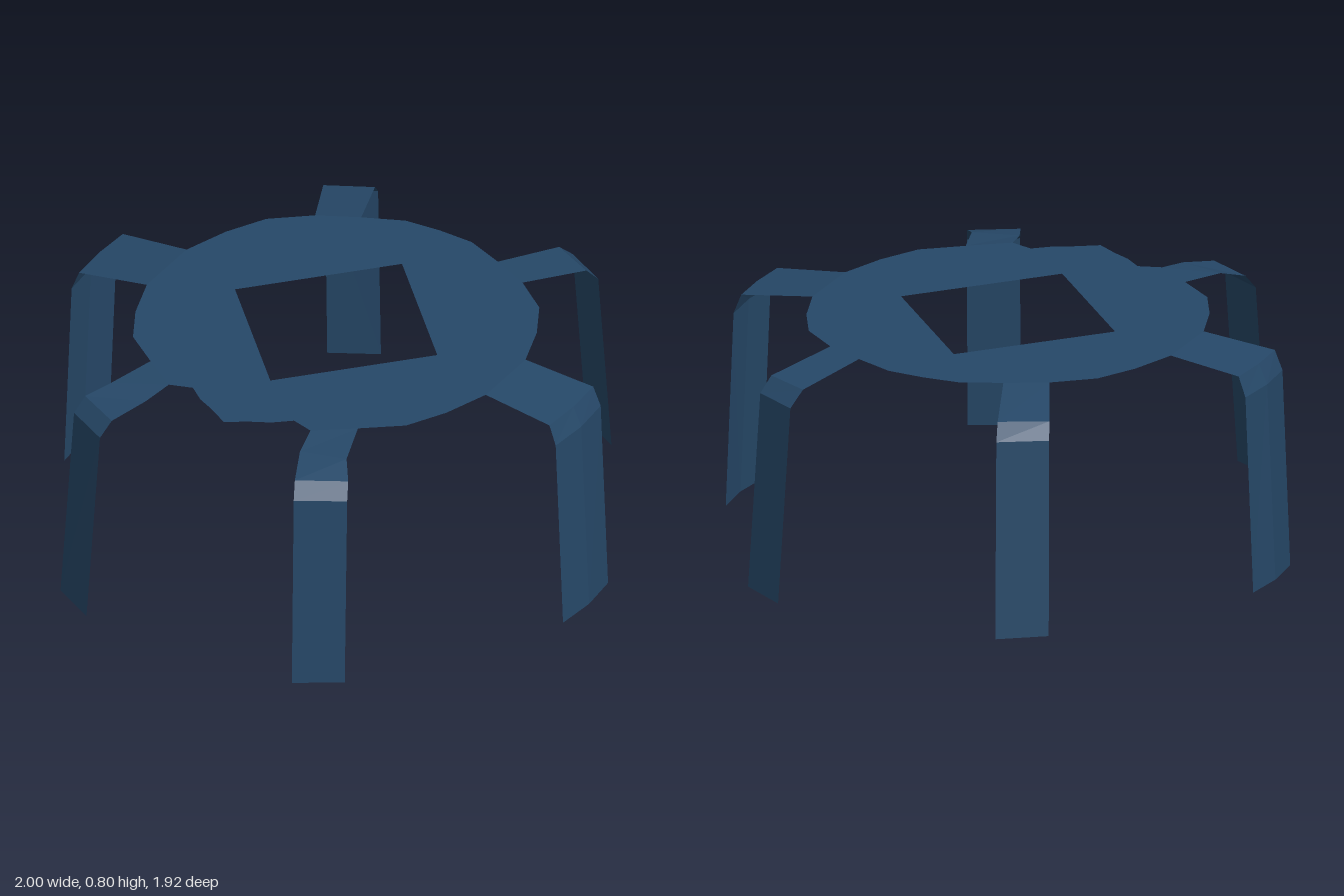
import * as THREE from 'three';

const H = 0.8; // height of the flat top

// Sheet strip: rows run from the top plate down to the foot, each row across the leg
function strip(rows) {
  const n = rows[0].length, index = [];
  for (let i = 0; i < rows.length - 1; i++) {
    for (let j = 0; j < n - 1; j++) {
      const a = i * n + j, b = a + 1, c = a + n, d = c + 1;
      index.push(a, b, d, a, d, c);
    }
  }
  const g = new THREE.BufferGeometry();
  g.setAttribute('position', new THREE.Float32BufferAttribute(rows.flat(2), 3));
  g.setIndex(index);
  const flat = g.toNonIndexed();
  flat.computeVertexNormals();
  return flat;
}

// Mirror a leg across x, reversing rows to keep faces outward
const mirror = rows => rows.map(r => r.map(([x, y, z]) => [-x, y, z]).reverse());

export function createModel() {
  const group = new THREE.Group();
  const blue = new THREE.MeshStandardMaterial({ color: 0x264868, side: THREE.DoubleSide, flatShading: true });
  blue.name = 'navy blue';
  const add = (name, geometry) => {
    const mesh = new THREE.Mesh(geometry, blue);
    mesh.name = name;
    group.add(mesh);
  };

  // Top plate: half outline in (x, z) from back to front, with a pointed front tab
  const half = [
    [0.13, -0.67], [0.27, -0.61], [0.41, -0.54], [0.54, -0.435], [0.615, -0.295], [0.67, -0.13],
    [0.67, 0.13], [0.615, 0.295], [0.54, 0.435], [0.41, 0.535], [0.28, 0.63],
    [0.2, 0.605], [0.14, 0.655], [0.075, 0.688],
  ];
  const outline = [[0, -0.677], ...half, [0, 0.735], ...half.map(([x, z]) => [-x, z]).reverse()];
  const toPoints = list => list.map(([x, z]) => new THREE.Vector2(x, -z));
  const shape = new THREE.Shape(toPoints(outline));
  // Diamond opening
  shape.holes.push(new THREE.Path(toPoints([[0, -0.43], [0.4, 0], [0, 0.43], [-0.4, 0]])));
  const plate = new THREE.ShapeGeometry(shape);
  plate.rotateX(-Math.PI / 2);
  plate.translate(0, H, 0);
  add('topPlate', plate);

  // Side legs: slightly bowed across the middle
  const sideLeg = [
    [0.67, H, 0.13, 0], [0.93, 0.77, 0.143, 0.008], [0.957, 0.7, 0.147, 0.012], [0.986, 0, 0.147, 0.014],
  ].map(([x, y, w, bow]) => [[x, y, -w], [x + bow, y, 0], [x, y, w]]);

  // Back legs: straight run, then two folds
  const backLeg = [
    [[0.27, H, -0.61], [0.41, H, -0.54]],
    [[0.364, 0.757, -0.855], [0.52, 0.757, -0.775]],
    [[0.385, 0.705, -0.91], [0.54, 0.705, -0.82]],
    [[0.406, 0.015, -0.963], [0.562, 0.02, -0.87]],
  ];

  // Front legs: curved run, then two folds
  const frontLeg = [
    [[0.41, H, 0.535], [0.28, H, 0.63]],
    [[0.465, 0.785, 0.7], [0.305, 0.785, 0.74]],
    [[0.52, 0.757, 0.78], [0.362, 0.757, 0.868]],
    [[0.54, 0.705, 0.82], [0.383, 0.705, 0.91]],
    [[0.562, 0.015, 0.872], [0.406, 0.01, 0.96]],
  ];

  for (const [name, rows] of Object.entries({ sideLeg, backLeg, frontLeg })) {
    add(name + 'Left', strip(rows));
    add(name + 'Right', strip(mirror(rows)));
  }
  return group;
}
